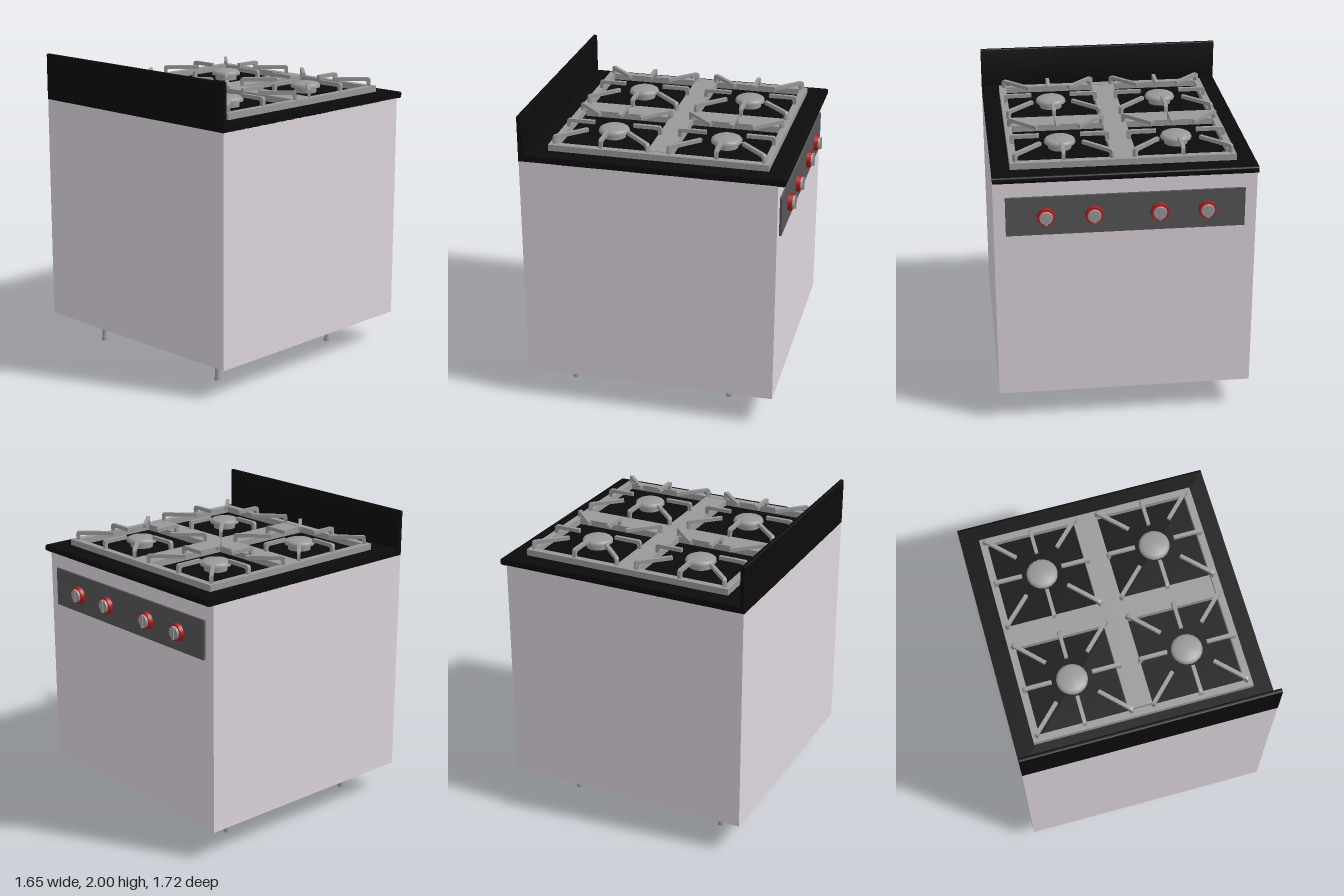
import * as THREE from 'three';
import { toCreasedNormals } from 'three/addons/utils/BufferGeometryUtils.js';

const paint = (color) => new THREE.MeshStandardMaterial({ color });

export function createModel() {
  const model = new THREE.Group();
  const enamel = paint(0xddd5dd), black = paint(0x0b0b0b), steel = paint(0x999999);
  const dark = paint(0x555555), red = paint(0xb01818);

  const add = (name, geo, mat, x = 0, y = 0, z = 0, parent = model) => {
    const m = new THREE.Mesh(geo, mat);
    m.name = name;
    m.position.set(x, y, z);
    parent.add(m);
    return m;
  };
  const box = (name, x0, x1, y0, y1, z0, z1, mat, parent) =>
    add(name, new THREE.BoxGeometry(x1 - x0, y1 - y0, z1 - z0), mat,
      (x0 + x1) / 2, (y0 + y1) / 2, (z0 + z1) / 2, parent);
  const lathe = (pts, sides) => toCreasedNormals(
    new THREE.LatheGeometry(pts.map(([r, y]) => new THREE.Vector2(r, y)), sides).toNonIndexed(), 0.6);
  const extrude = (shape, depth, curveSegments = 5) => {
    const g = new THREE.ExtrudeGeometry(shape, { depth, bevelEnabled: false, curveSegments });
    g.translate(0, 0, -depth / 2);
    return toCreasedNormals(g, 0.6);
  };

  // Cabinet
  box('cabinet', -0.825, 0.825, 0.195, 1.697, -0.795, 0.858, enamel);

  // Worktop and splashback in one L profile (shape x becomes z)
  const l = new THREE.Shape();
  l.moveTo(0.86, 1.695);
  l.lineTo(0.86, 1.99);
  l.quadraticCurveTo(0.86, 2, 0.85, 2);
  l.lineTo(0.842, 2);
  l.quadraticCurveTo(0.832, 2, 0.832, 1.99);
  l.lineTo(0.832, 1.737);
  l.lineTo(-0.826, 1.737);
  l.quadraticCurveTo(-0.842, 1.737, -0.842, 1.722);
  l.lineTo(-0.842, 1.71);
  l.quadraticCurveTo(-0.842, 1.695, -0.826, 1.695);
  l.closePath();
  add('worktop', extrude(l, 1.65).rotateY(-Math.PI / 2), black);

  // Pan support frame: outer ring and cross
  const frame = new THREE.Group();
  frame.name = 'panSupportFrame';
  model.add(frame);
  const y0 = 1.735, y1 = 1.778;
  box('frameLeft', 0.663, 0.71, y0, y1, -0.715, 0.7, steel, frame);
  box('frameRight', -0.705, -0.66, y0, y1, -0.715, 0.7, steel, frame);
  box('frameBack', -0.66, 0.663, y0, y1, 0.655, 0.7, steel, frame);
  box('frameFront', -0.66, 0.663, y0, y1, -0.715, -0.67, steel, frame);
  box('crossLong', -0.085, 0.07, y0, y1, -0.67, 0.645, steel, frame);
  box('crossArmRight', -0.66, -0.085, y0, y1, -0.085, 0.068, steel, frame);
  box('crossArmLeft', 0.07, 0.657, y0, y1, -0.085, 0.068, steel, frame);

  // Bent finger bar reaching from the frame toward the burner
  const finger = (rIn, rOut) => {
    const s = new THREE.Shape();
    s.moveTo(rIn, 1.81);
    s.lineTo(rOut - 0.04, 1.81);
    s.quadraticCurveTo(rOut - 0.024, 1.81, rOut - 0.024, 1.795);
    s.lineTo(rOut - 0.024, 1.77);
    s.lineTo(rOut, 1.77);
    s.lineTo(rOut, 1.812);
    s.quadraticCurveTo(rOut, 1.834, rOut - 0.022, 1.834);
    s.lineTo(rIn, 1.834);
    s.closePath();
    return extrude(s, 0.023);
  };
  const straight = finger(0.13, 0.316), diagonal = finger(0.19, 0.437);
  const capGeo = lathe([[0, 1.736], [0.075, 1.736], [0.075, 1.768], [0.1, 1.772],
    [0.1, 1.784], [0.094, 1.795], [0.082, 1.802], [0, 1.802]], 18);

  // Four burners with eight fingers each
  for (const x of [-0.372, 0.374]) for (const z of [-0.378, 0.362]) {
    const burner = new THREE.Group();
    burner.name = 'burner';
    burner.position.set(x, 0, z);
    model.add(burner);
    add('burnerCap', capGeo, steel, 0, 0, 0, burner);
    for (let i = 0; i < 8; i++) {
      add('supportFinger', i % 2 ? diagonal : straight, steel, 0, 0, 0, burner).rotation.y = i * Math.PI / 4;
    }
  }

  // Control panel and knobs on the -z side
  box('controlPanel', -0.75, 0.75, 1.332, 1.587, -0.81, -0.794, dark);
  const collar = new THREE.CylinderGeometry(0.054, 0.058, 0.028, 24).rotateX(-Math.PI / 2);
  const dial = new THREE.CylinderGeometry(0.04, 0.044, 0.014, 24).rotateX(-Math.PI / 2);
  for (const x of [-0.51, -0.21, 0.2, 0.5]) {
    const knob = new THREE.Group();
    knob.name = 'knob';
    knob.position.set(x, 1.456, 0);
    model.add(knob);
    add('knobCollar', collar, red, 0, 0, -0.823, knob);
    add('knobDial', dial, steel, 0, 0, -0.843, knob);
    add('knobGrip', new THREE.BoxGeometry(0.018, 0.084, 0.014), steel, 0, 0, -0.851, knob);
  }

  // Legs flared at both ends
  const legGeo = lathe([[0, 0], [0.023, 0], [0.023, 0.008], [0.017, 0.02], [0.017, 0.168],
    [0.023, 0.182], [0.023, 0.197], [0, 0.197]], 16);
  for (const x of [-0.57, 0.535]) for (const z of [-0.455, 0.62]) add('leg', legGeo, steel, x, 0, z);

  return model;
}
